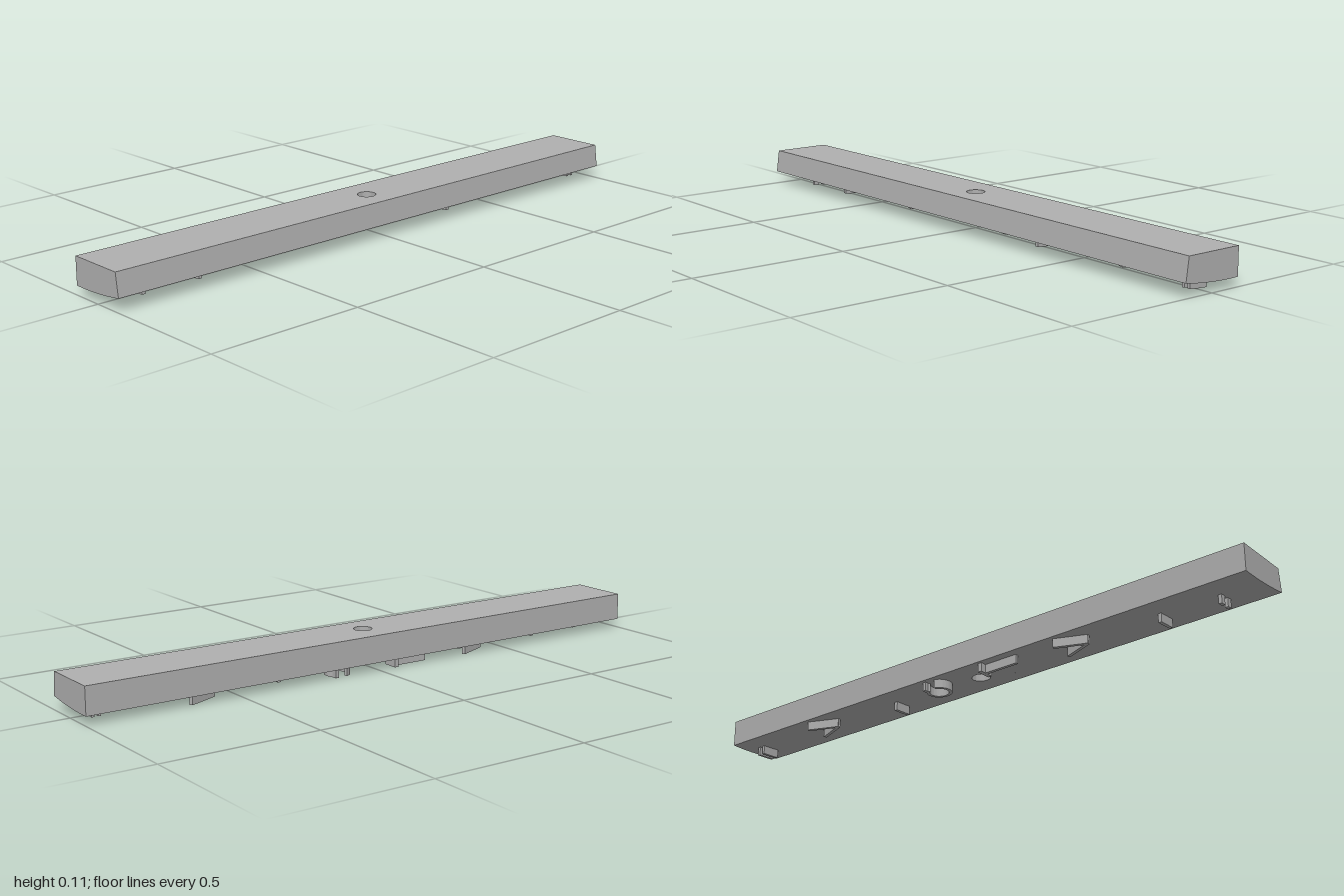
import * as THREE from 'three';
import { toCreasedNormals } from 'three/addons/utils/BufferGeometryUtils.js';

const HALF_W = 0.1, HALF_L = 1, TOP = 0.115, HOLE_R = 0.029, MID = 0.1, RIB_H = 0.028;

// height of the gently curved underside at x
const under = (x) => 0.028 + 0.457 * (x + 0.075) ** 2;

// move every vertex of a geometry by a rule
function reshape(geo, rule) {
  const p = geo.attributes.position, v = new THREE.Vector3();
  for (let i = 0; i < p.count; i++) {
    rule(v.fromBufferAttribute(p, i));
    p.setXYZ(i, v.x, v.y, v.z);
  }
  return toCreasedNormals(geo, 0.5);
}

// solid end of the bar, from z0 to z1
function endBlock(z0, z1) {
  const s = new THREE.Shape();
  s.moveTo(-HALF_W, TOP);
  for (let i = 0; i <= 12; i++) {
    const x = -HALF_W + (i / 12) * 2 * HALF_W;
    s.lineTo(x, under(x));
  }
  s.lineTo(0.09, TOP);
  const geo = new THREE.ExtrudeGeometry(s, { depth: z1 - z0, bevelEnabled: false });
  geo.translate(0, 0, z0);
  return toCreasedNormals(geo, 0.5);
}

// middle of the bar: a ring of sections from the round hole to a square outline
function holeBlock() {
  const pts = [[0, 0], [0.33, 0], [0.66, 0], [1, 0], [1, 1], [0, 1], [0, 0]].map(
    ([t, y]) => new THREE.Vector2(HOLE_R + t * (MID - HOLE_R), y));
  return reshape(new THREE.LatheGeometry(pts, 48), (v) => {
    const r = Math.hypot(v.x, v.z), dx = v.x / r, dz = v.z / r;
    const t = (r - HOLE_R) / (MID - HOLE_R);
    const edge = MID / Math.max(Math.abs(dx), Math.abs(dz));
    const R = THREE.MathUtils.lerp(HOLE_R, edge, t);
    v.x = dx * R;
    v.z = dz * R;
    if (v.y > 0.5) {
      v.y = TOP;
      v.x -= t * 0.1 * Math.max(v.x, 0); // slanted side
    } else v.y = under(v.x);
  });
}

// keep a rib's ends parallel to the curved underside
const hang = (geo) => reshape(geo, (v) => {
  v.y = under(v.x) + (v.y > 0 ? 0.002 : -RIB_H);
});

// straight rib between two points [x, z]
function rib([x0, z0], [x1, z1], width = 0.011) {
  const geo = new THREE.BoxGeometry(Math.hypot(x1 - x0, z1 - z0), 1, width, 4, 1, 1);
  geo.rotateY(-Math.atan2(z1 - z0, x1 - x0));
  geo.translate((x0 + x1) / 2, 0, (z0 + z1) / 2);
  return hang(geo);
}

// round rib, open on one side
function roundRib(x, z, r, width, start, end) {
  const s = new THREE.Shape();
  s.absarc(0, 0, r, start, end, false);
  s.absarc(0, 0, r - width, end, start, true);
  const geo = new THREE.ExtrudeGeometry(s, { depth: 1, bevelEnabled: false, curveSegments: 32 });
  geo.translate(0, 0, -0.5);
  geo.rotateX(-Math.PI / 2);
  geo.translate(x, 0, z);
  return hang(geo);
}

export function createModel() {
  const group = new THREE.Group();
  const grey = new THREE.MeshStandardMaterial({ color: 0xb0b0b0 });
  grey.name = 'grey';
  const add = (name, geo) => {
    const mesh = new THREE.Mesh(geo, grey);
    mesh.name = name;
    group.add(mesh);
  };

  // bar
  add('frontBar', endBlock(MID, HALF_L));
  add('backBar', endBlock(-HALF_L, -MID));
  add('middleBarWithHole', holeBlock());

  // pairs of ribs meeting at a point
  for (const z of [0.435, -0.565]) {
    add('slantedRib', rib([-0.003, z - 0.098], [-0.042, z]));
    add('slantedRib', rib([-0.083, z - 0.098], [-0.042, z]));
  }

  // short cross ribs
  for (const z of [0.675, -0.328]) add('crossRib', rib([-0.028, z], [0.032, z]));
  for (const z of [-0.926, -0.946]) add('endRib', rib([-0.032, z], [0.032, z], 0.009));
  for (const x of [-0.012, 0.022]) add('endStud', rib([x - 0.009, 0.87], [x + 0.009, 0.87]));

  // long rib with a cross piece
  add('longRib', rib([-0.066, 0.07], [-0.066, 0.19]));
  add('longRibCross', rib([-0.09, 0.066], [-0.04, 0.066], 0.014));

  // round rib and its stud
  add('roundRib', roundRib(-0.046, -0.13, 0.04, 0.01, -2.9, 2.5));
  add('roundRibStud', rib([-0.088, -0.158], [-0.07, -0.158]));
  return group;
}
